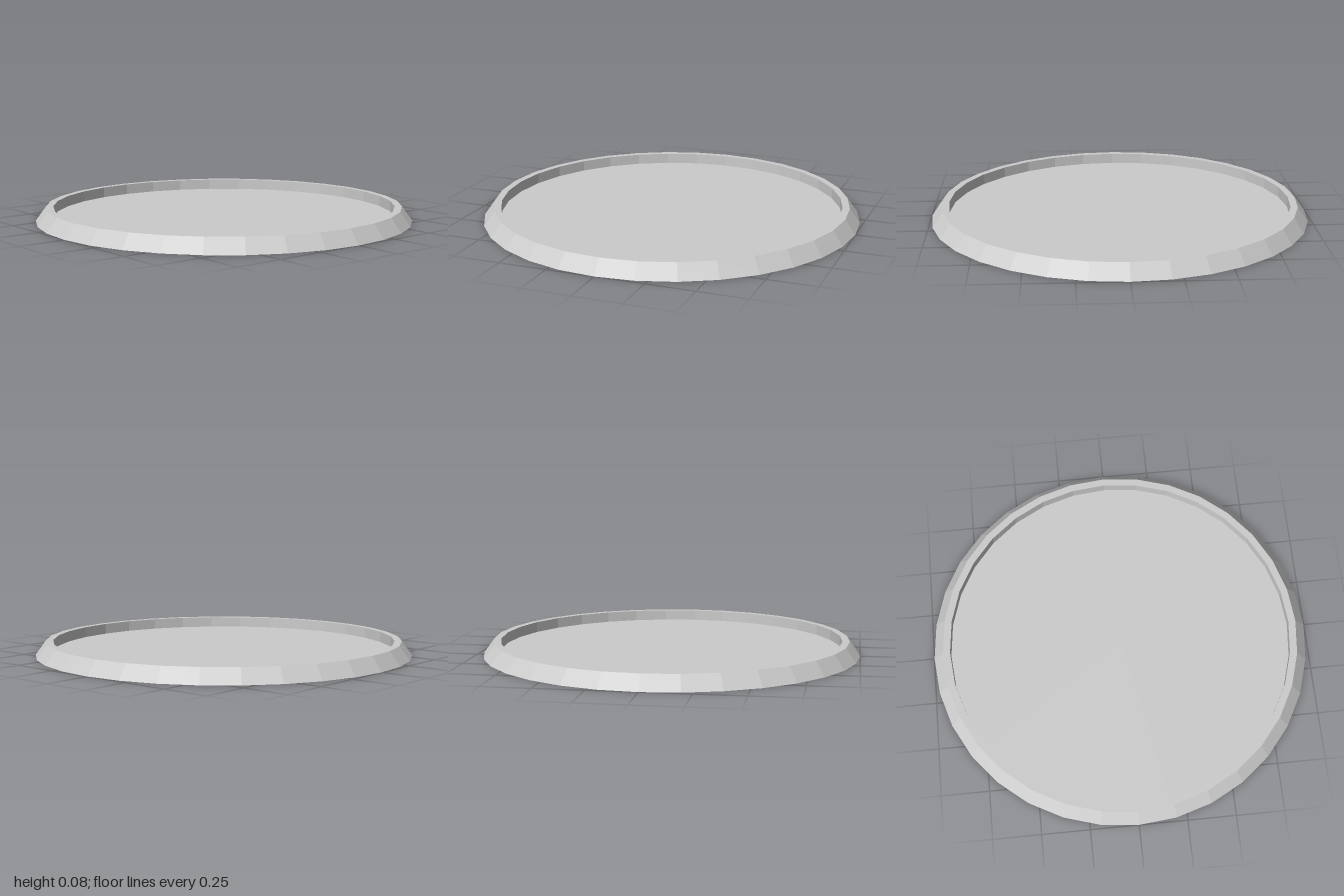
import * as THREE from 'three';

const SIDES = 32;
const RIM_TOP = 0.075;
const FLOOR = 0.018;

export function createModel() {
  const group = new THREE.Group();
  group.name = 'roundTray';
  const material = new THREE.MeshStandardMaterial({ color: 0xcccccc, flatShading: true });

  // Each part is a surface of revolution, profile given as [radius, height]
  const addLathe = (name, profile) => {
    const points = profile.map(([r, y]) => new THREE.Vector2(r, y));
    const mesh = new THREE.Mesh(new THREE.LatheGeometry(points, SIDES), material);
    mesh.name = name;
    group.add(mesh);
  };

  // Flat underside
  addLathe('base', [[0, 0], [1, 0]]);
  // Sloping outer side, narrow flat lip and upright inner wall
  addLathe('rim', [[1, 0], [0.945, RIM_TOP], [0.907, RIM_TOP], [0.907, FLOOR]]);
  // Recessed floor
  addLathe('floor', [[0.907, FLOOR], [0, FLOOR]]);

  return group;
}
